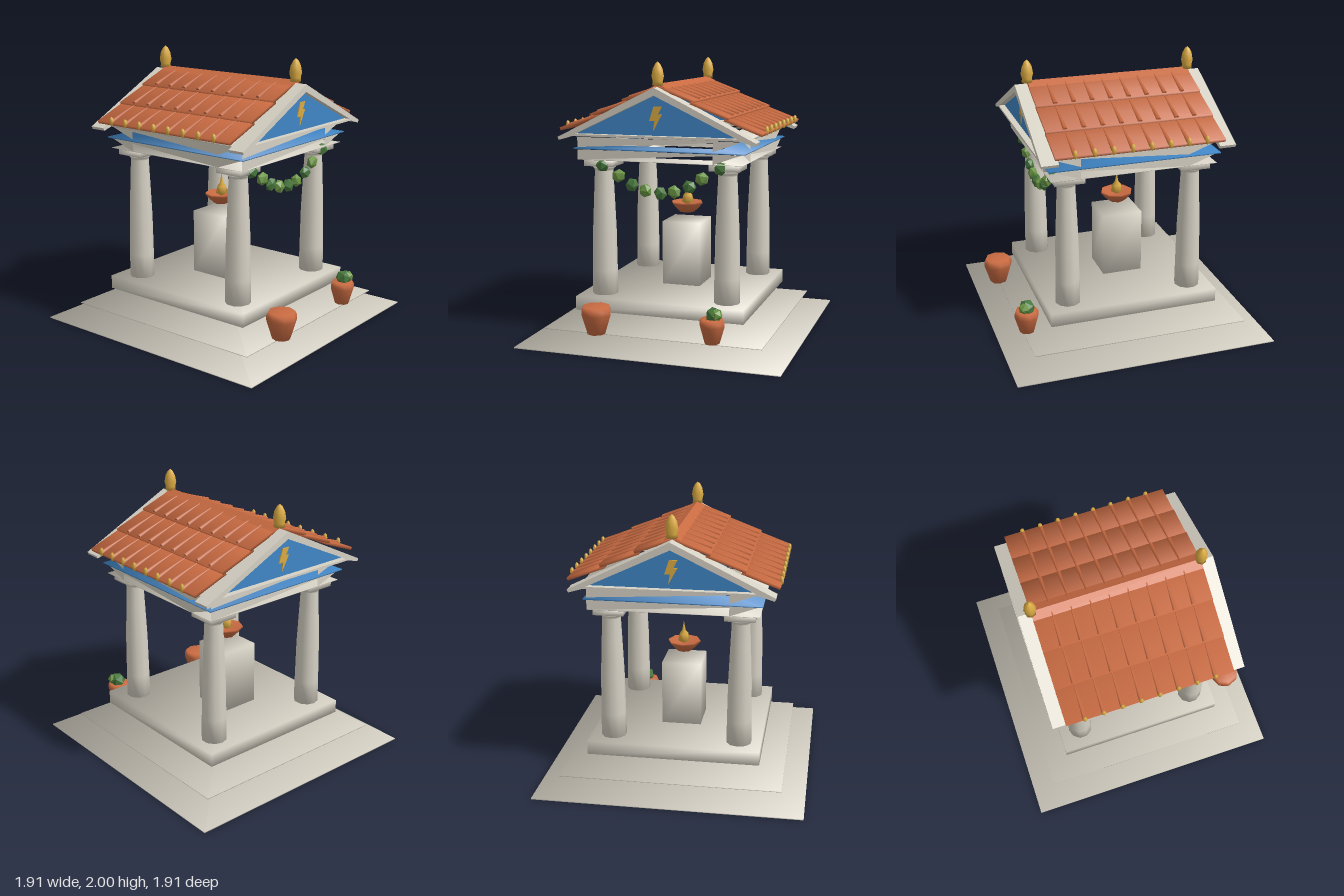
import * as THREE from 'three';

const mat = (name, color, extra = {}) => {
  const m = new THREE.MeshStandardMaterial({ color, ...extra });
  m.name = name;
  return m;
};

export function createModel() {
  const root = new THREE.Group();
  root.name = 'shrine';
  const marble = mat('marble', 0xd6d1c4);
  const clay = mat('terracotta', 0xc96b42, { side: THREE.DoubleSide });
  const gold = mat('gold', 0xdbab42);
  const blue = mat('blue', 0x4086c6, { side: THREE.DoubleSide });
  const leaf = mat('leafGreen', 0x6c9645);
  const darkLeaf = mat('darkGreen', 0x47773c);

  const add = (name, geo, m, x = 0, y = 0, z = 0, parent = root) => {
    const mesh = new THREE.Mesh(geo, m);
    mesh.name = name;
    mesh.position.set(x, y, z);
    parent.add(mesh);
    return mesh;
  };
  const group = (name, parent = root) => {
    const g = new THREE.Group();
    g.name = name;
    parent.add(g);
    return g;
  };
  const v2 = (pts) => pts.map(([a, b]) => new THREE.Vector2(a, b));
  const lathe = (pts, n) => new THREE.LatheGeometry(v2(pts), n);
  const extrude = (pts, depth, hole) => {
    const s = new THREE.Shape(v2(pts));
    if (hole) s.holes.push(new THREE.Path(v2(hole)));
    return new THREE.ExtrudeGeometry(s, { depth, bevelEnabled: false });
  };
  const square = (r) => [[-r, -r], [r, -r], [r, r], [-r, r]];
  // Smooth shading across corners: each normal points out of its corner
  const soften = (geo, wx = 1, wy = 1, wz = 1) => {
    geo.computeBoundingBox();
    const c = geo.boundingBox.getCenter(new THREE.Vector3());
    const { position: p, normal } = geo.attributes;
    const n = new THREE.Vector3();
    for (let i = 0; i < p.count; i++) {
      n.fromBufferAttribute(p, i).sub(c);
      n.set(Math.sign(n.x) * wx, Math.sign(n.y) * wy, Math.sign(n.z) * wz).normalize();
      normal.setXYZ(i, n.x, n.y, n.z);
    }
    return geo;
  };
  const softBox = (w, h, d) => soften(new THREE.BoxGeometry(w, h, d));

  // Two thin steps and the raised floor
  add('lowerStep', softBox(1.91, 0.008, 1.91), marble, 0, 0.006, 0);
  add('upperStep', softBox(1.58, 0.006, 1.58), marble, 0, 0.115, 0);
  add('platform', softBox(1.24, 0.1, 1.25), marble, 0, 0.273, 0);

  // Four tapered columns with flared capitals
  const shaft = lathe([[0, 0.323], [0.092, 0.323], [0.09, 0.5], [0.085, 0.8],
    [0.074, 1.05], [0.066, 1.22], [0.07, 1.235], [0.1, 1.265], [0, 1.265]], 10);
  for (const x of [-1, 1]) for (const z of [-1, 1]) {
    const col = group('column');
    col.position.set(x * 0.458, 0, z * 0.458);
    add('shaft', shaft, marble, 0, 0, 0, col);
    add('capital', softBox(0.215, 0.045, 0.215), marble, 0, 1.283, 0, col);
  }

  // Altar, bowl and flame
  add('altar', softBox(0.29, 0.477, 0.3), marble, 0, 0.562, -0.06);
  add('offeringBowl', lathe([[0, 0.858], [0.055, 0.858], [0.085, 0.885], [0.12, 0.925],
    [0.118, 0.937], [0.06, 0.915], [0, 0.91]], 8), clay, 0, 0, -0.06);
  add('flame', lathe([[0, 0.91], [0.045, 0.935], [0.035, 0.985],
    [0.014, 1.01], [0, 1.085]], 6), gold, 0.005, 0, -0.06);

  // Open beams: slender triangular faces around flat rings
  const beamFace = (y0, y1, shapes, z) => {
    const p = [];
    for (const s of shapes) for (const [x, top] of s) p.push(x, top ? y1 : y0, z);
    const g = new THREE.BufferGeometry();
    g.setAttribute('position', new THREE.Float32BufferAttribute(p, 3));
    g.computeVertexNormals();
    return g;
  };
  const fromLeft = [[-0.6, 0], [0.59, 1], [-0.6, 1]];
  const fromRight = [[0.4, 0], [0.4, 1], [-0.6, 1]];
  const inner = [[-0.39, 0], [0.39, 1], [-0.39, 1]];
  const endRight = [[0.39, 0], [0.59, 1], [0.39, 1]];
  const endLeft = [[-0.39, 0], [-0.39, 1], [-0.59, 1]];
  const beams = group('entablature');
  for (const [name, y0, y1] of [['architrave', 1.31, 1.382], ['frieze', 1.398, 1.47]]) {
    for (let i = 0; i < 4; i++) {
      const side = group(name, beams);
      side.rotation.y = i * Math.PI / 2;
      const outer = i % 2 ? [fromRight, endRight, endLeft] : [fromLeft, endRight];
      add('outerFace', beamFace(y0, y1, outer, 0.6), marble, 0, 0, 0, side);
      add('innerFace', beamFace(y0, y1, [inner], -0.39), marble, 0, 0, 0, side);
    }
  }
  const ring = (name, r, hole, h, y, m) => {
    const geo = soften(extrude(square(r), h, square(hole)));
    add(name, geo, m, 0, y, 0, beams).rotation.x = -Math.PI / 2;
  };
  ring('architraveUnderside', 0.6, 0.39, 0.003, 1.309, marble);
  ring('blueBand', 0.62, 0.4, 0.008, 1.386, blue);
  ring('corniceLedge', 0.64, 0.42, 0.012, 1.478, marble);

  // Gables with a recessed blue field and a zigzag emblem
  const bolt = [[-0.012, 0.085], [0.045, 0.085], [0.018, 0.03], [0.045, 0.03],
    [-0.018, -0.085], [-0.006, -0.015], [-0.045, -0.015]];
  for (const turn of [0, Math.PI]) {
    const gable = group('gable');
    gable.rotation.y = turn;
    add('rakingCornice', extrude(
      [[-0.7, 1.455], [-0.6, 1.485], [0.6, 1.485], [0.7, 1.455], [0.71, 1.475], [0, 1.828], [-0.71, 1.475]],
      0.12, [[-0.58, 1.5], [0.58, 1.5], [0, 1.775]]), marble, 0, 0, 0.57, gable);
    add('blueField', new THREE.ShapeGeometry(new THREE.Shape(
      v2([[-0.6, 1.49], [0.6, 1.49], [0, 1.79]]))), blue, 0, 0, 0.645, gable);
    add('zigzagEmblem', extrude(bolt, 0.008), gold, 0, 1.615, 0.646, gable);
    add('finial', lathe([[0, 1.835], [0.04, 1.84], [0.036, 1.865], [0.045, 1.9],
      [0.036, 1.95], [0.018, 1.985], [0, 2]], 8), gold, 0, 0, 0.6, gable);
  }

  // Roof slopes: overlapping courses, cover ribs and eave ornaments
  const roofY = (x) => 1.845 - 0.445 * x;
  const courses = [[0, 0.26], [0.23, 0.5], [0.47, 0.73]];
  for (const turn of [0, Math.PI]) {
    const slope = group('roofSlope');
    slope.rotation.y = turn;
    for (const [a, b] of courses) {
      const ya = roofY(a) - 0.006, yb = roofY(b) + 0.012;
      const len = Math.hypot(b - a, yb - ya);
      const pitch = Math.atan2(ya - yb, b - a);
      const tile = soften(new THREE.BoxGeometry(len, 0.022, 1.2), 0.6, 1, 0.3).rotateZ(-pitch);
      add('tileCourse', tile, clay, (a + b) / 2, (ya + yb) / 2 - 0.011, 0, slope);
      const rib = new THREE.CylinderGeometry(0.004, 0.017, len * 0.9, 5);
      rib.rotateZ(Math.PI / 2 - pitch);
      for (let i = 0; i < 8; i++) {
        add('coverTile', rib, clay, (a + b) / 2 + 0.008, (ya + yb) / 2 - 0.002, -0.465 + i * 0.133, slope);
      }
    }
    for (let i = 0; i < 8; i++) {
      const knob = add('eaveOrnament', new THREE.SphereGeometry(0.022, 6, 4), gold,
        0.73, 1.54, -0.465 + i * 0.133, slope);
      knob.scale.set(0.7, 1.5, 0.8);
    }
  }
  add('ridgeCap', extrude([[-0.06, 1.818], [0.06, 1.818], [0, 1.85]], 1.2), clay, 0, 0, -0.6);

  // Leafy garland hung between the front columns
  const garland = group('garland');
  const drape = [[-0.43, 1.27], [-0.31, 1.2], [-0.21, 1.14], [-0.11, 1.105], [0, 1.09],
    [0.1, 1.105], [0.21, 1.145], [0.3, 1.205], [0.43, 1.28]];
  drape.forEach(([x, y], i) => {
    const clump = add('leafClump', new THREE.IcosahedronGeometry(0.053), i % 2 ? leaf : darkLeaf,
      x, y, 0.553, garland);
    clump.scale.set(1, 0.9, 0.7);
    clump.rotation.z = i * 0.5;
  });

  // Clay pots, one planted
  const pot = lathe([[0, 0], [0.065, 0], [0.108, 0.14], [0.108, 0.17], [0.095, 0.198], [0, 0.198]], 8);
  add('largePot', pot, clay, -0.395, 0.117, 0.79);
  add('smallPot', pot, clay, 0.437, 0.117, 0.76).scale.set(0.82, 0.87, 0.82);
  add('plant', new THREE.IcosahedronGeometry(0.062), darkLeaf, 0.45, 0.312, 0.76).rotation.set(0.4, 0.3, 0.2);
  add('plantSprig', new THREE.IcosahedronGeometry(0.042), leaf, 0.475, 0.322, 0.785);

  return root;
}
